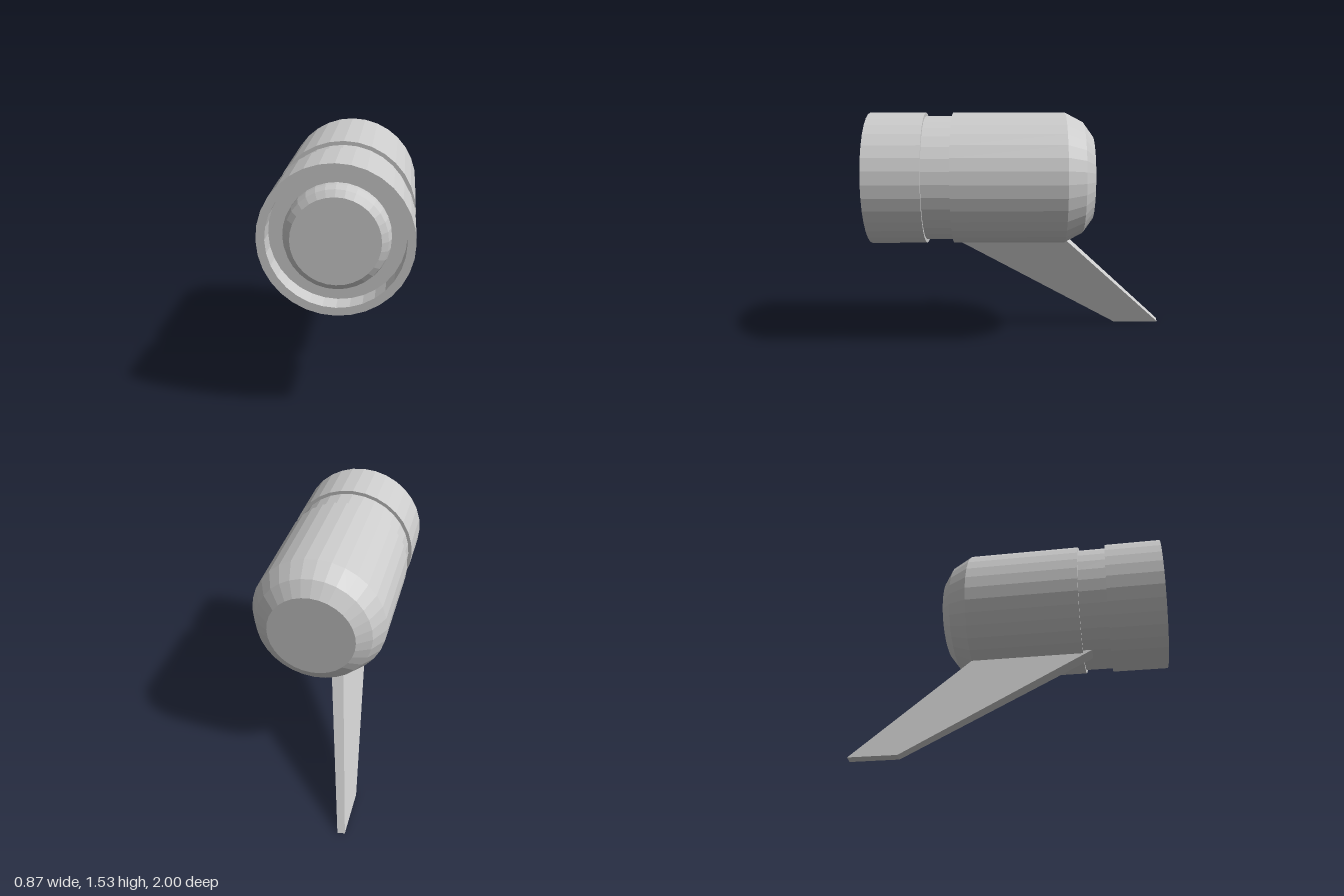
import * as THREE from 'three';

const material = new THREE.MeshStandardMaterial({ color: 0xcccccc, flatShading: true });
const SIDES = 32;
const AXIS_HEIGHT = 1.1;

// Turned part lying along z: points are [radius, z], listed from back to front
function turned(name, points) {
  const geometry = new THREE.LatheGeometry(points.map(([r, z]) => new THREE.Vector2(r, z)), SIDES);
  geometry.rotateX(Math.PI / 2);
  const mesh = new THREE.Mesh(geometry, material);
  mesh.name = name;
  mesh.position.y = AXIS_HEIGHT;
  return mesh;
}

// Swept fin: a box whose ends are moved to the root and tip sections
function makeFin() {
  const root = { r: 0.38, front: 0.56, back: -0.23, half: 0.0415 };
  const tip = { r: 1.142, front: -0.68, back: -1, half: 0.025 };
  const geometry = new THREE.BoxGeometry(1, 1, 1);
  const p = geometry.attributes.position;
  for (let i = 0; i < p.count; i++) {
    const end = p.getY(i) > 0 ? root : tip;
    p.setXYZ(i, Math.sign(p.getX(i)) * end.half, -end.r, p.getZ(i) > 0 ? end.front : end.back);
  }
  geometry.computeVertexNormals();
  const fin = new THREE.Mesh(geometry, material);
  fin.name = 'fin';
  fin.position.y = AXIS_HEIGHT;
  fin.rotation.z = -0.294; // radial, leaning to the model's right
  return fin;
}

export function createModel() {
  const model = new THREE.Group();
  model.name = 'finnedPod';

  // Hull: chamfered back, groove, front collar and recessed front
  model.add(turned('hull', [
    [0, -0.465], [0.28, -0.465], [0.37, -0.4], [0.433, -0.28],
    [0.433, 0.455], [0.41, 0.455], [0.41, 0.635], [0.433, 0.635],
    [0.433, 1], [0.385, 1], [0.385, 0.88], [0, 0.88],
  ]));

  // Round plug standing in the recess
  model.add(turned('frontPlug', [
    [0.3, 0.87], [0.3, 0.92], [0.286, 0.97], [0.25, 1], [0, 1],
  ]));

  model.add(makeFin());
  return model;
}
